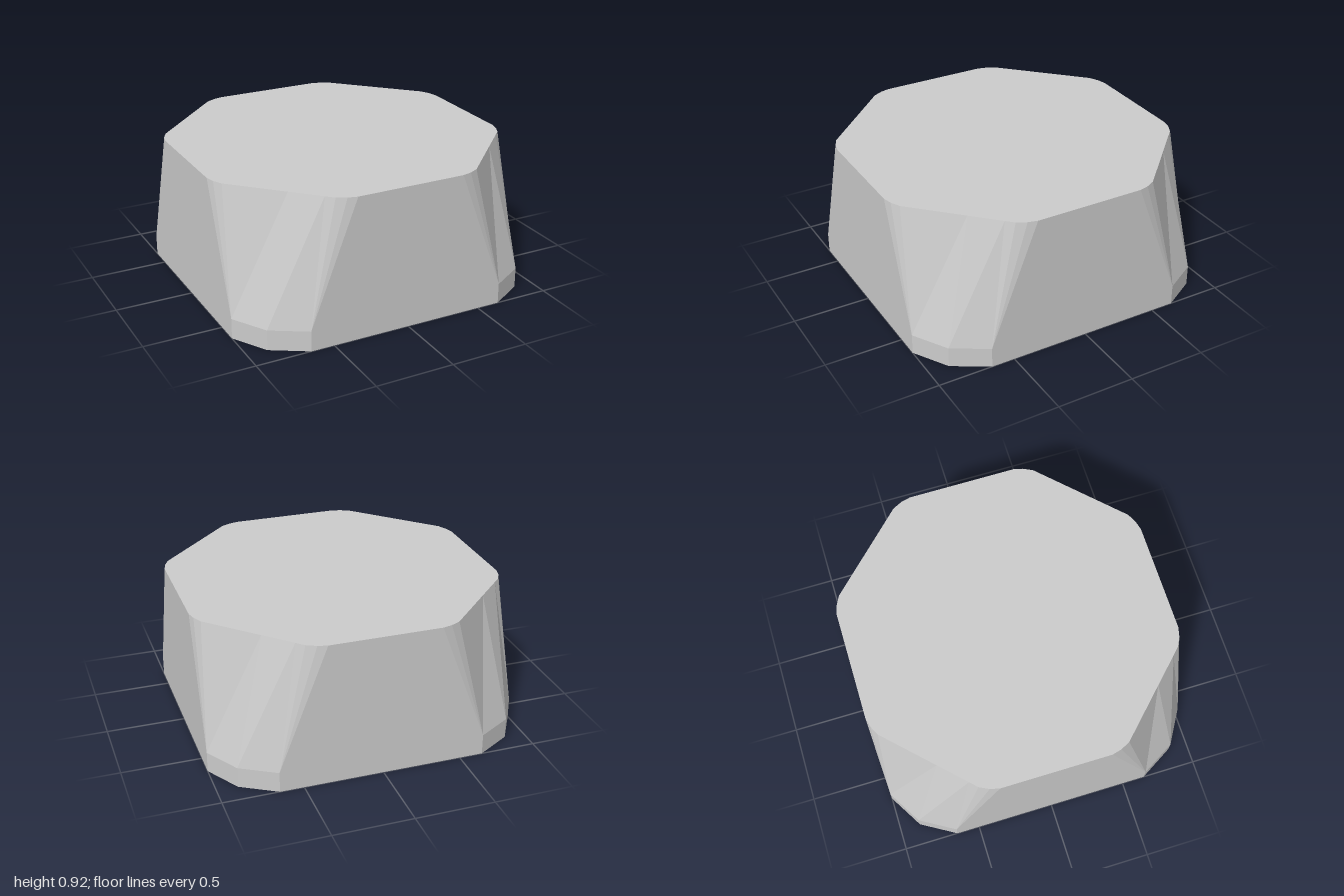
import * as THREE from 'three';

// One corner in plan, [x, z], running from the +x side round to the +z side
const BASE = [[1, 0.65], [0.87, 0.87], [0.65, 1]];
const TOP = [[1, 0.35], [0.985, 0.41], [0.955, 0.47], [0.91, 0.515],
  [0.755, 0.67], [0.47, 0.955], [0.41, 0.985], [0.35, 1]];
const BAND = 0.13, HEIGHT = 0.915;

// Repeat a corner four times, a quarter turn each, into a closed ring
function ring(corner, y) {
  const points = [];
  for (let q = 0; q < 4; q++) {
    for (let [x, z] of corner) {
      for (let k = 0; k < q; k++) [x, z] = [-z, x];
      points.push([x, y, z]);
    }
  }
  return points;
}

function createBlockGeometry() {
  const floor = ring(BASE, 0), band = ring(BASE, BAND), top = ring(TOP, HEIGHT);
  const positions = [];
  const tri = (...corners) => corners.forEach((p) => positions.push(...p));
  const at = (points, i) => points[i % points.length];

  // Underside and upright band
  for (let i = 0; i < floor.length; i++) {
    const a = at(floor, i), b = at(floor, i + 1);
    tri([0, 0, 0], a, b);
    tri(a, at(band, i), at(band, i + 1));
    tri(a, at(band, i + 1), b);
  }

  // Flat top
  for (let i = 0; i < top.length; i++) {
    tri([0, HEIGHT, 0], at(top, i + 1), at(top, i));
  }

  // Tapering corners: each base point fans out to a run of top points
  const runs = [[0, 3], [3, 4], [4, 8]];
  for (let q = 0; q < 4; q++) {
    runs.forEach(([from, to], j) => {
      const b = at(band, q * 3 + j), next = at(band, q * 3 + j + 1);
      for (let k = from; k < to; k++) tri(b, at(top, q * 8 + k), at(top, q * 8 + k + 1));
      tri(b, at(top, q * 8 + to), next);
    });
  }

  const geometry = new THREE.BufferGeometry();
  geometry.setAttribute('position', new THREE.Float32BufferAttribute(positions, 3));
  geometry.computeVertexNormals();
  return geometry;
}

export function createModel() {
  const model = new THREE.Group();
  model.name = 'chamferedBlock';
  const material = new THREE.MeshStandardMaterial({ color: 0xcccccc, flatShading: true });
  const block = new THREE.Mesh(createBlockGeometry(), material);
  block.name = 'block';
  model.add(block);
  return model;
}
